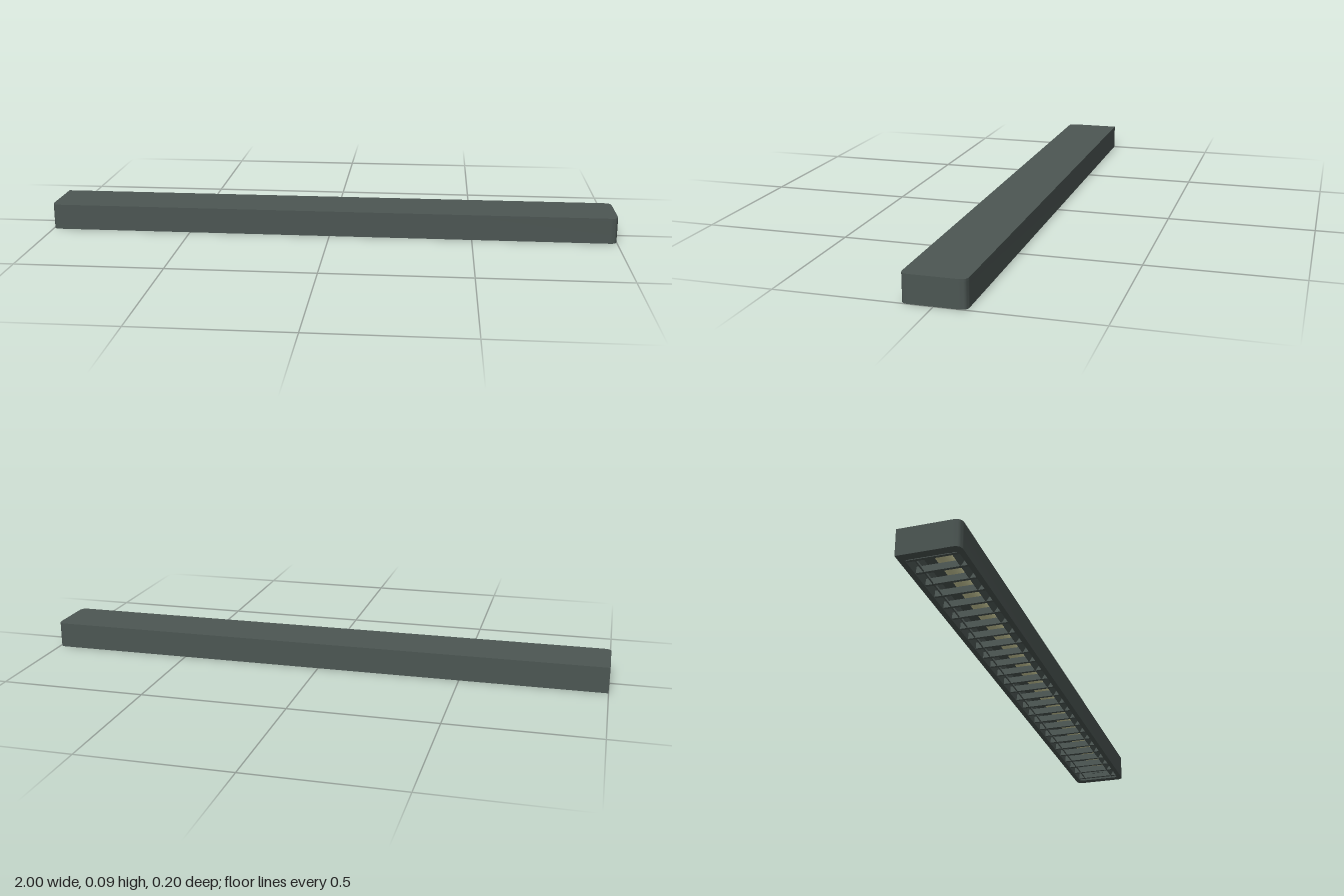
import * as THREE from 'three';
import { toCreasedNormals } from 'three/addons/utils/BufferGeometryUtils.js';

const L = 1, W = 0.1, H = 0.09;

// Plan outline (shape y is -z) with three rounded corners and one square corner
function outline(target, l, w, r) {
  target.moveTo(-l + r, -w);
  target.lineTo(l - r, -w);
  target.quadraticCurveTo(l, -w, l, -w + r);
  target.lineTo(l, w - r);
  target.quadraticCurveTo(l, w, l - r, w);
  target.lineTo(-l, w);
  target.lineTo(-l, -w + r);
  target.quadraticCurveTo(-l, -w, -l + r, -w);
  return target;
}

// Extrude a plan shape upwards from height y
function slab(shape, y, depth) {
  const g = new THREE.ExtrudeGeometry(shape, { depth, bevelEnabled: false, curveSegments: 6 });
  g.rotateX(-Math.PI / 2).translate(0, y, 0);
  return toCreasedNormals(g, 0.6);
}

export function createModel() {
  const group = new THREE.Group();
  const dark = new THREE.MeshStandardMaterial({ color: 0x4c5653 });
  const glow = new THREE.MeshStandardMaterial({ color: 0xd2d2a0 });

  const add = (name, geometry, material = dark, parent = group) => {
    const mesh = new THREE.Mesh(geometry, material);
    mesh.name = name;
    parent.add(mesh);
    return mesh;
  };

  // Housing: wall around the open underside, closed by a top plate
  const wall = outline(new THREE.Shape(), L, W, 0.025);
  wall.holes.push(outline(new THREE.Path(), L - 0.03, W - 0.018, 0.015));
  add('housingWall', slab(wall, 0, H - 0.008));
  add('housingTop', slab(outline(new THREE.Shape(), L, W, 0.025), H - 0.008, 0.008));

  // Fluorescent tube with end sockets
  const tube = new THREE.CylinderGeometry(0.024, 0.024, 1.9, 20).rotateZ(Math.PI / 2);
  add('lampTube', tube, glow).position.y = 0.053;
  for (const s of [-1, 1]) {
    add('lampSocket', new THREE.BoxGeometry(0.02, 0.06, 0.05)).position.set(s * 0.96, 0.052, 0);
  }

  // Louvre: slanted side rails and evenly spaced cross blades
  const louvre = new THREE.Group();
  louvre.name = 'louvre';
  group.add(louvre);
  for (const s of [-1, 1]) {
    const rail = add('sideRail', new THREE.BoxGeometry(1.94, 0.045, 0.004), dark, louvre);
    rail.position.set(0, 0.025, s * 0.068);
    rail.rotation.x = s * 0.5;
  }

  const profile = new THREE.Shape();
  profile.moveTo(-0.005, 0.004);
  profile.lineTo(0.005, 0.004);
  profile.lineTo(0.0015, 0.028);
  profile.lineTo(-0.0015, 0.028);
  const blade = new THREE.ExtrudeGeometry(profile, { depth: 0.164, bevelEnabled: false });
  blade.translate(0, 0, -0.082);
  const cells = 26, pitch = 0.0735;
  for (let i = 0; i <= cells; i++) {
    add('louvreBlade', blade, dark, louvre).position.x = (i - cells / 2) * pitch;
  }
  return group;
}
